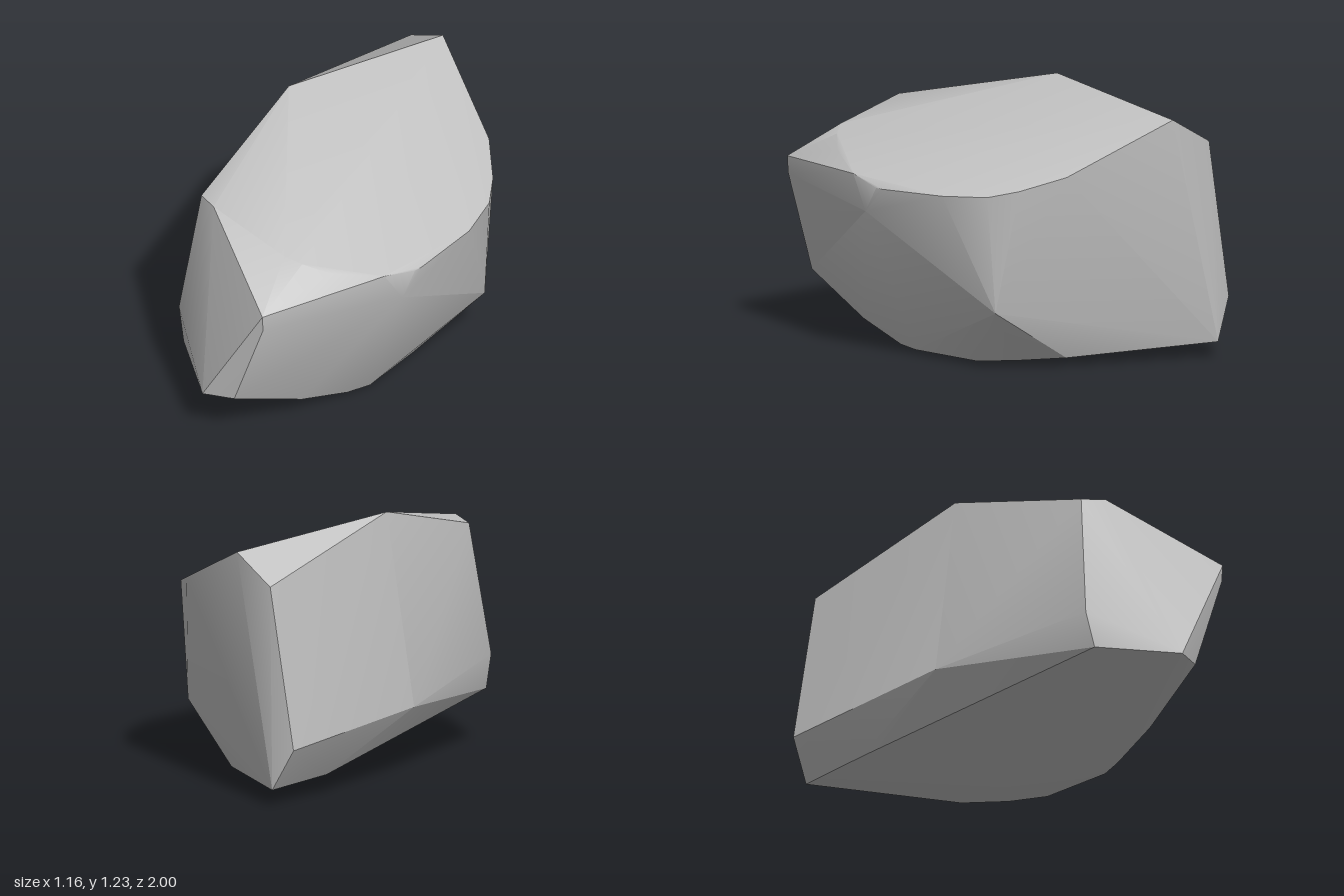
import * as THREE from 'three';
import { ConvexGeometry } from 'three/addons/geometries/ConvexGeometry.js';
import { toCreasedNormals } from 'three/addons/utils/BufferGeometryUtils.js';

// Corner groups of the chipped boulder, each [x, y, z]
const topRim = [
  [-0.43, 1.23, -0.10], [-0.13, 1.15, -0.91], [0.33, 0.93, -0.62], [0.47, 0.87, -0.45],
  [0.54, 0.84, -0.32], [0.58, 0.83, -0.10], [0.55, 0.82, 0.24], [0.54, 0.82, 0.28],
  [0.48, 0.86, 0.44], [0.31, 0.92, 0.63], [0.20, 0.97, 0.70], [0.12, 1.00, 0.73],
  [-0.31, 1.07, 0.68], [-0.42, 1.05, 0.62],
];
const frontFace = [
  [0.175, 0.83, 0.985], [0.175, 0.75, 0.98], [0, 0.27, 0.96],
  [-0.15, 0.26, 1.00], [-0.45, 0.26, 0.72], [-0.49, 0.43, 0.70],
];
const sides = [
  [-0.58, 0.33, -0.10], [0.50, 0.29, -0.34], [0.52, 0.70, 0.35],
];
const backFace = [
  [-0.35, 1.02, -0.97], [-0.49, 0.27, -0.99], [-0.38, 0.075, -1.00],
];
const underside = [
  [-0.44, 0.09, -0.63], [0.155, 0.04, -0.51], [0.24, 0.02, -0.30], [0.27, 0, -0.10],
  [0.26, 0.015, 0.24], [0.21, 0.02, 0.35], [0.17, 0.04, 0.42], [0.13, 0.10, 0.60],
];

export function createModel() {
  const group = new THREE.Group();
  group.name = 'boulder';
  const stone = new THREE.MeshStandardMaterial({ color: 0xc1c1c1 });
  stone.name = 'stone grey';

  // One convex stone; only shallow edges are smoothed
  const corners = [topRim, frontFace, sides, backFace, underside]
    .flat().map(p => new THREE.Vector3(...p));
  const rock = new THREE.Mesh(toCreasedNormals(new ConvexGeometry(corners), 0.45), stone);
  rock.name = 'rock';
  group.add(rock);
  return group;
}
